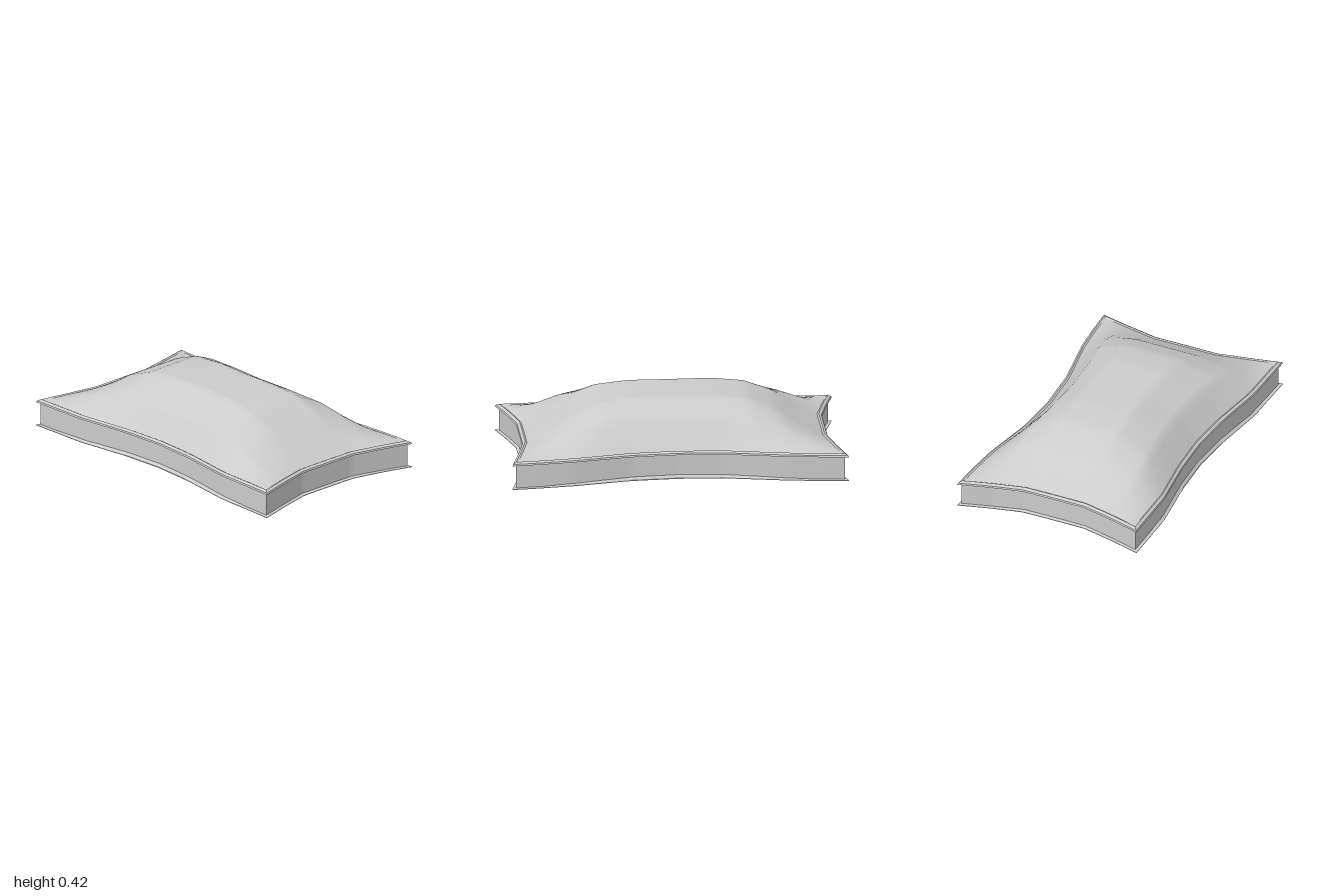
import * as THREE from 'three';
import { toCreasedNormals } from 'three/addons/utils/BufferGeometryUtils.js';

const material = new THREE.MeshStandardMaterial({ color: 0xcccccc, side: THREE.DoubleSide });

// Linear lookup in a short list of [key, value] pairs
function lookup(table, k) {
  for (let i = 1; i < table.length; i++) {
    const [k0, v0] = table[i - 1], [k1, v1] = table[i];
    if (k <= k1) return v0 + (v1 - v0) * Math.max(0, (k - k0) / (k1 - k0));
  }
  return table[table.length - 1][1];
}

// Outline: waisted long sides and hollow short ends
const leftEdge = [[0, 0.48], [0.3, 0.498], [0.64, 0.56], [0.85, 0.58], [1, 0.588]];
const rightEdge = [[0, 0.53], [0.28, 0.545], [0.62, 0.588], [1, 0.588]];
const endEdge = [[0, 0.908], [0.2, 0.908], [0.4, 0.952], [0.588, 1]];

// Swelling across the width (each side) and along the length
const swellLeft = [[0, 1], [0.37, 1], [0.69, 0.68], [1, 0]];
const swellRight = [[0, 1], [0.36, 1], [0.75, 0.6], [1, 0]];
const swellLength = [[0, 1], [0.28, 1], [0.5, 0.91], [0.69, 0.65], [0.83, 0.34], [1, 0]];

// Point of the plan at u, v in -1..1, with the outline moved in by inset
function point(u, v, inset, y) {
  const a = Math.abs(v);
  const x = u * (lookup(u > 0 ? leftEdge : rightEdge, a) - inset);
  const z = v * (lookup(endEdge, Math.abs(x)) - inset);
  const lift = 0.008 * (2 - u * u - v * v);
  return [x, y + lift, z];
}

// Skin over rows of points
function skin(rows) {
  const n = rows[0].length, index = [];
  for (let j = 0; j < rows.length - 1; j++) {
    for (let i = 0; i < n - 1; i++) {
      const a = j * n + i, b = a + 1, c = b + n, d = a + n;
      index.push(a, b, c, a, c, d);
    }
  }
  const g = new THREE.BufferGeometry();
  g.setAttribute('position', new THREE.Float32BufferAttribute(rows.flat(2), 3));
  g.setIndex(index);
  g.computeVertexNormals();
  return g;
}

const N = 40;
const steps = Array.from({ length: N + 1 }, (_, i) => -1 + (2 * i) / N);

// Domed sheet; the underside has the same dome seen from within
function dome(inset, base, height, faceDown) {
  const rows = steps.map((s) => steps.map((u) => {
    const v = -s;
    const across = lookup(u > 0 ? swellLeft : swellRight, Math.abs(u));
    return point(u, v, inset, base + height * across * lookup(swellLength, Math.abs(v)));
  }));
  return skin(faceDown ? rows.reverse() : rows);
}

// Profile of [inset, y] pairs swept round the outline
function border(profile) {
  const loop = [
    ...steps.map((s) => [s, 1]), ...steps.slice(1).map((s) => [1, -s]),
    ...steps.slice(1).map((s) => [-s, -1]), ...steps.slice(1).map((s) => [-1, s]),
  ];
  const rows = profile.map(([d, y]) => loop.map(([u, v]) => point(u, v, d, y)));
  return toCreasedNormals(skin(rows), 0.45);
}

export function createModel() {
  const group = new THREE.Group();
  const add = (name, geometry) => {
    const mesh = new THREE.Mesh(geometry, material);
    mesh.name = name;
    group.add(mesh);
  };
  add('cushionTop', dome(0.03, 0.162, 0.242, false));
  add('topHem', border([[0.018, 0.146], [0, 0.147], [0.004, 0.157], [0.02, 0.167], [0.03, 0.162]]));
  add('sideBand', border([[0.018, 0.004], [0.018, 0.147]]));
  add('bottomHem', border([[0, 0], [0, 0.003], [0.018, 0.007]]));
  add('cushionUnderside', dome(0, 0, 0.242, true));
  return group;
}
